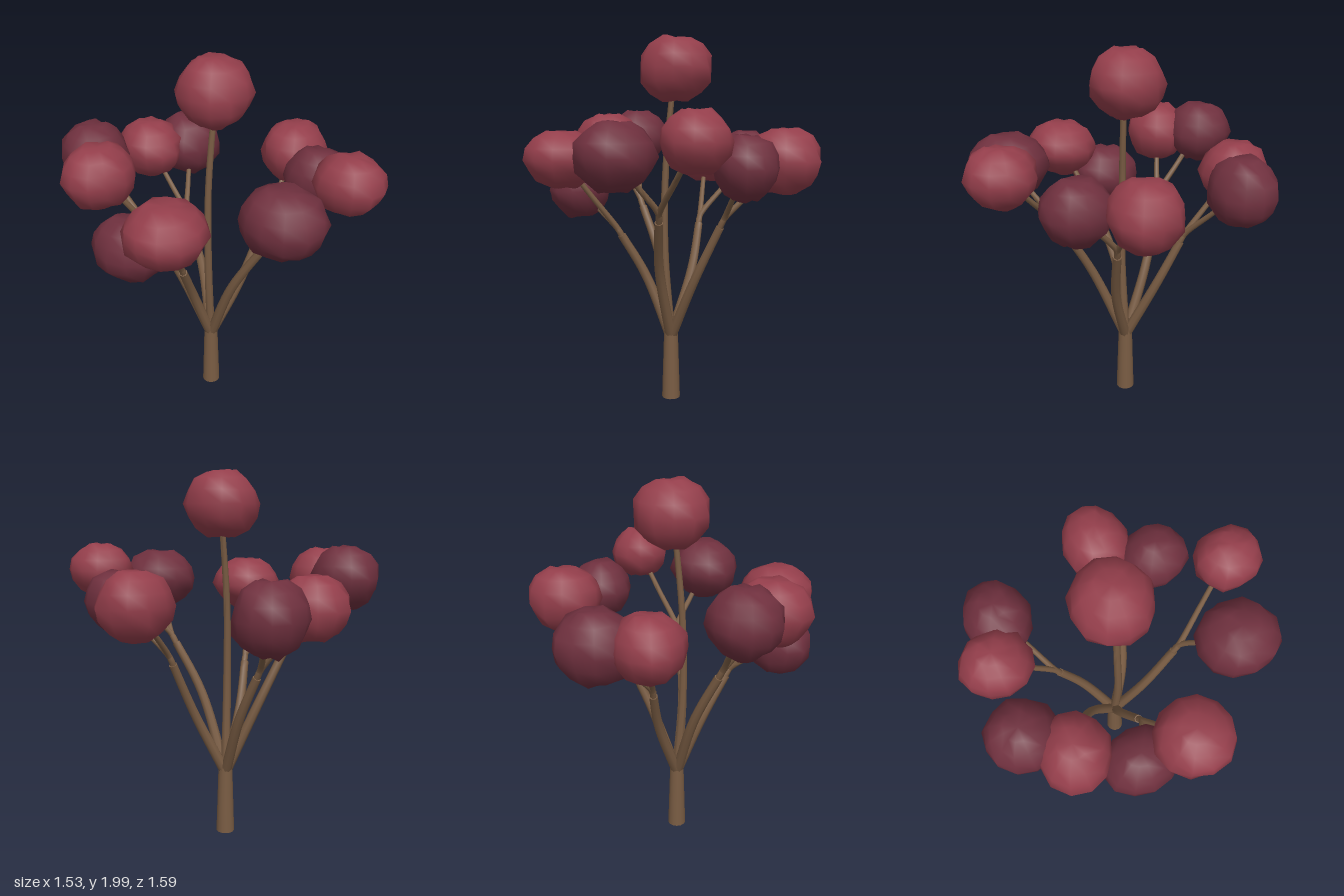
import * as THREE from 'three';
import { toCreasedNormals, mergeVertices } from 'three/addons/utils/BufferGeometryUtils.js';

const bark = new THREE.MeshStandardMaterial({ color: 0x795c43 });
const lightLeaf = new THREE.MeshStandardMaterial({ color: 0x943e4b });
const darkLeaf = new THREE.MeshStandardMaterial({ color: 0x6f303e });

const vec = (p) => new THREE.Vector3(...p);

function seeded(seed) {
  let s = seed * 7919 + 13;
  return () => {
    s = (s * 16807) % 2147483647;
    return s / 2147483647;
  };
}

// Tapered round limb along a curve, with a flat cut at its end
function limb(name, points, r0, r1) {
  const rings = 16, sides = 8;
  const curve = new THREE.CatmullRomCurve3(points.map(vec));
  const geo = new THREE.TubeGeometry(curve, rings, 1, sides, false);
  const pos = geo.attributes.position;
  const v = new THREE.Vector3();
  for (let i = 0; i < pos.count; i++) {
    const ring = Math.floor(i / (sides + 1));
    const last = ring === rings;
    const centre = curve.getPointAt(ring / rings);
    v.fromBufferAttribute(pos, i).sub(centre);
    // the last ring closes onto the centre of the one before it
    if (last) v.copy(curve.getPointAt((rings - 1) / rings));
    else v.multiplyScalar(r0 + (r1 - r0) * ring / rings).add(centre);
    pos.setXYZ(i, v.x, v.y, v.z);
  }
  const mesh = new THREE.Mesh(toCreasedNormals(geo, 1), bark);
  mesh.name = name;
  return mesh;
}

// Lumpy, slightly squashed ball of leaves with dimpled poles
function foliage(name, centre, size, material, seed) {
  const cols = 12, rows = 8;
  const rand = seeded(seed);
  for (let i = 0; i < 5; i++) rand();
  const bump = Array.from({ length: cols * (rows + 1) }, () => 0.94 + rand() * 0.11);
  let geo = new THREE.SphereGeometry(1, cols, rows);
  const pos = geo.attributes.position;
  for (let i = 0; i < pos.count; i++) {
    const row = Math.floor(i / (cols + 1)), col = (i % (cols + 1)) % cols;
    const pole = row === 0 || row === rows;
    const k = pole ? 0.91 : bump[row * cols + col];
    pos.setXYZ(i, pos.getX(i) * k, pos.getY(i) * k, pos.getZ(i) * k);
  }
  geo.deleteAttribute('uv');
  geo.deleteAttribute('normal');
  geo.scale(...size);
  geo.rotateY(rand() * 6.28);
  geo = mergeVertices(geo, 1e-4);
  geo.computeVertexNormals();
  const mesh = new THREE.Mesh(geo, material);
  mesh.name = name;
  mesh.position.set(...centre);
  return mesh;
}

export function createModel() {
  const tree = new THREE.Group();
  tree.name = 'tree';
  const base = [-0.03, 0.35, -0.01];

  // Trunk
  const trunk = new THREE.Mesh(new THREE.CylinderGeometry(0.039, 0.051, 0.385, 14), bark);
  trunk.name = 'trunk';
  trunk.position.set(-0.03, 0.1925, -0.01);
  tree.add(trunk);

  // Central stem and crown
  tree.add(limb('centralStem', [base, [-0.055, 0.85, 0.015], [-0.05, 1.3, 0.01], [-0.01, 1.75, 0]], 0.026, 0.015));
  tree.add(foliage('crown', [0, 1.82, -0.015], [0.195, 0.178, 0.195], lightLeaf, 1));

  // Each branch: bend, fork, then a light and a dark foliage ball (centre, size)
  const branches = [
    { name: 'left', bend: [0.14, 0.7, 0.025], fork: [0.305, 1.05, 0],
      light: [[0.56, 1.355, -0.15], [0.2, 0.175, 0.178]], dark: [[0.51, 1.335, 0.16], [0.18, 0.165, 0.162]] },
    { name: 'front', bend: [0.015, 0.78, 0.17], fork: [0.12, 1.1, 0.325],
      light: [[0.45, 1.47, 0.52], [0.165, 0.15, 0.175]], dark: [[0.055, 1.395, 0.59], [0.21, 0.17, 0.198]] },
    { name: 'frontRight', bend: [-0.16, 0.7, 0.045], fork: [-0.27, 0.97, 0.155],
      light: [[-0.44, 1.355, 0.4], [0.2, 0.155, 0.2]], dark: [[-0.53, 1.175, 0.16], [0.2, 0.165, 0.172]] },
    { name: 'backRight', bend: [-0.18, 0.77, -0.12], fork: [-0.345, 1.1, -0.16],
      light: [[-0.572, 1.43, -0.145], [0.195, 0.168, 0.175]], dark: [[-0.52, 1.45, -0.385], [0.18, 0.168, 0.178]] },
    { name: 'back', bend: [-0.005, 0.72, -0.19], fork: [-0.035, 1.0, -0.325],
      light: [[-0.145, 1.34, -0.575], [0.175, 0.165, 0.188]], dark: [[0.11, 1.315, -0.605], [0.178, 0.185, 0.2]] },
  ];
  branches.forEach((b, n) => {
    const group = new THREE.Group();
    group.name = b.name + 'Branch';
    group.add(limb('bough', [base, b.bend, b.fork], 0.03, 0.022));
    // Twigs start just inside the bough
    const start = vec(b.bend).lerp(vec(b.fork), 0.85).toArray();
    [[b.light, lightLeaf, 'Light'], [b.dark, darkLeaf, 'Dark']].forEach(([[centre, size], mat, tone], k) => {
      const mid = vec(b.fork).lerp(vec(centre), 0.5).toArray();
      group.add(limb('twig' + tone, [start, b.fork, mid, centre], 0.017, 0.012));
      group.add(foliage('foliage' + tone, centre, size, mat, 2 + n * 2 + k));
    });
    tree.add(group);
  });
  return tree;
}
